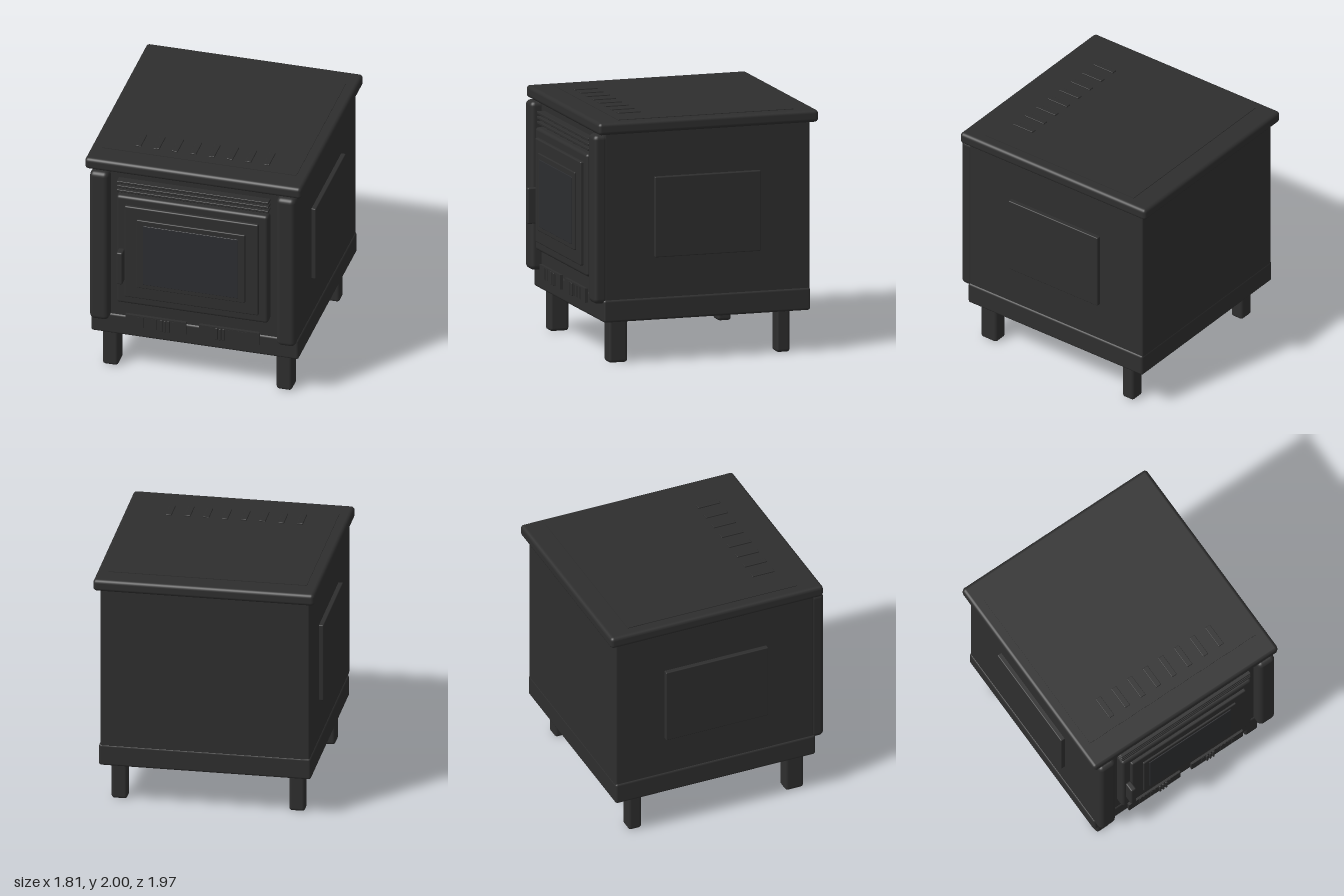
import * as THREE from 'three';
import { RoundedBoxGeometry } from 'three/addons/geometries/RoundedBoxGeometry.js';

export function createModel() {
  const stove = new THREE.Group();
  stove.name = 'woodStove';
  const iron = new THREE.MeshStandardMaterial({ name: 'cast iron', color: 0x2e2e2e });
  const glass = new THREE.MeshStandardMaterial({ name: 'dark glass', color: 0x2c2d30 });

  // Rounded box given by its limits along each axis
  function block(name, [x0, x1], [y0, y1], [z0, z1], radius, material = iron) {
    const w = x1 - x0, h = y1 - y0, d = z1 - z0;
    const geometry = radius > 0
      ? new RoundedBoxGeometry(w, h, d, 3, Math.min(radius, w / 2.1, h / 2.1, d / 2.1))
      : new THREE.BoxGeometry(w, h, d);
    const mesh = new THREE.Mesh(geometry, material);
    mesh.name = name;
    mesh.position.set((x0 + x1) / 2, (y0 + y1) / 2, (z0 + z1) / 2);
    stove.add(mesh);
    return mesh;
  }

  // Firebox, plinth and top plate
  block('body', [-0.855, 0.855], [0.5, 1.9], [-0.925, 0.82], 0.015);
  block('plinth', [-0.865, 0.865], [0.345, 0.53], [-0.928, 0.83], 0.02);
  block('topPlate', [-0.903, 0.903], [1.885, 1.985], [-0.985, 0.885], 0.03);
  block('topPanel', [-0.81, 0.81], [1.975, 1.99], [-0.8, 0.69], 0);

  // Row of raised strips on the top
  for (let i = 0; i < 8; i++) {
    const x = (i - 3.5) * 0.153;
    block('topStrip', [x - 0.024, x + 0.024], [1.98, 2], [0.41, 0.605], 0.004);
  }

  // Mirrored corner pillars, side panels and legs
  for (const s of [-1, 1]) {
    const span = (a, b) => (s > 0 ? [a, b] : [-b, -a]);
    block('cornerPillar', span(0.7, 0.858), [0.5, 1.88], [0.79, 0.91], 0.04);
    block('sidePanel', span(0.84, 0.892), [0.86, 1.517], [-0.497, 0.402], 0.008);
    block('frontLeg', span(0.66, 0.79), [0, 0.36], [0.6, 0.76], 0.025);
    block('backLeg', span(0.66, 0.79), [0, 0.36], [-0.78, -0.665], 0.025);
  }

  // Stepped door
  block('doorFrame', [-0.635, 0.63], [0.685, 1.688], [0.8, 0.898], 0.025);
  block('doorPanel', [-0.56, 0.557], [0.765, 1.615], [0.85, 0.925], 0.012);
  block('windowFrame', [-0.455, 0.45], [0.875, 1.51], [0.88, 0.94], 0.008);
  block('window', [-0.4, 0.395], [0.915, 1.465], [0.92, 0.947], 0.004, glass);
  block('doorHandle', [-0.61, -0.56], [0.91, 1.205], [0.9, 0.987], 0.012);

  // Louvres above the door
  for (const y of [1.725, 1.765, 1.805]) {
    block('louvre', [-0.635, 0.63], [y - 0.011, y + 0.011], [0.8, 0.885], 0.005);
  }

  // Air vents with fins and a ribbed slider
  for (const [cx, knob] of [[-0.31, -0.23], [0.303, 0.23]]) {
    block('ventPlate', [cx - 0.252, cx + 0.252], [0.46, 0.577], [0.86, 0.885], 0);
    for (let i = -4; i <= 4; i++) {
      const x = cx + i * 0.036;
      block('ventFin', [x - 0.01, x + 0.01], [0.472, 0.567], [0.88, 0.888], 0);
    }
    for (const dx of [-0.03, 0, 0.03]) {
      block('ventSlider', [knob + dx - 0.009, knob + dx + 0.009], [0.466, 0.572], [0.88, 0.898], 0.004);
    }
  }
  return stove;
}
